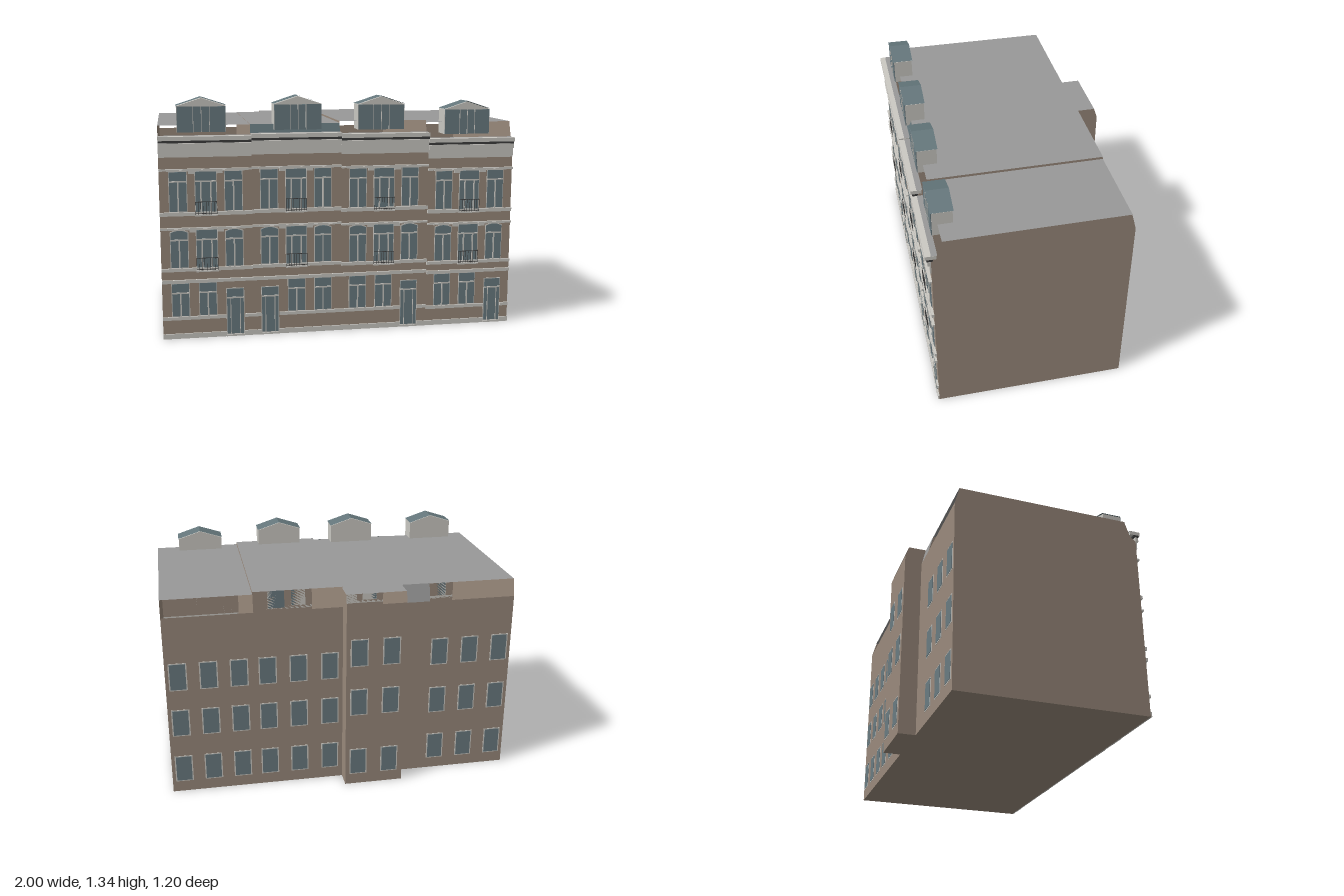
import * as THREE from 'three';

const mat = (name, color, side = THREE.FrontSide) => {
  const m = new THREE.MeshStandardMaterial({ color, side });
  m.name = name;
  return m;
};

export function createModel() {
  const root = new THREE.Group();
  root.name = 'terraceRow';
  const brick = mat('brick', 0x9a8a7c, THREE.DoubleSide);
  const stone = mat('paleStone', 0xcbc9c3);
  const glass = mat('glass', 0x6a7b81);
  const slate = mat('slate', 0x64767b, THREE.DoubleSide);
  const roofGrey = mat('roofGrey', 0x999999, THREE.DoubleSide);
  const iron = mat('darkIron', 0x3c3c3c);

  let target = root;
  const add = (name, geometry, material) => {
    const m = new THREE.Mesh(geometry, material);
    m.name = name;
    target.add(m);
    return m;
  };
  // Box given by its limits
  const box = (name, material, x0, x1, y0, y1, z0, z1) =>
    add(name, new THREE.BoxGeometry(x1 - x0, y1 - y0, z1 - z0), material)
      .position.set((x0 + x1) / 2, (y0 + y1) / 2, (z0 + z1) / 2);
  // Flat four-cornered face
  const quad = (name, material, ...p) => {
    const g = new THREE.BufferGeometry();
    g.setAttribute('position', new THREE.Float32BufferAttribute(p.flat(), 3));
    g.setIndex([0, 1, 2, 0, 2, 3]);
    g.computeVertexNormals();
    add(name, g, material);
  };
  // Upright wall across x, outline given as [z, y] points
  const crossWall = (name, x, pts) => {
    const s = new THREE.Shape(pts.map(([z, y]) => new THREE.Vector2(z, y)));
    const m = add(name, new THREE.ShapeGeometry(s).rotateY(-Math.PI / 2), brick);
    m.position.x = x;
  };
  const backFront = (name, x0, x1, y1, z) =>
    quad(name, brick, [x0, 0, z], [x1, 0, z], [x1, y1, z], [x0, y1, z]);
  // Upright panel with an optional arched head
  const panel = (name, material, x, w, y0, y1, rise, z, depth) => {
    const s = new THREE.Shape();
    s.moveTo(-w / 2, y0);
    s.lineTo(w / 2, y0);
    s.lineTo(w / 2, y1 - rise);
    if (rise) s.quadraticCurveTo(0, y1 + rise, -w / 2, y1 - rise);
    else s.lineTo(-w / 2, y1);
    const g = new THREE.ExtrudeGeometry(s, { depth, bevelEnabled: false, curveSegments: 8 });
    add(name, g, material).position.set(x, 0, z);
  };

  const FRONT = 0.57, BACK = -0.5;

  // Window or door on the street side
  const frontWindow = (x, w, y0, y1, rise, door = false) => {
    panel('windowFrame', stone, x, w + 0.008, y0, y1 + 0.004, rise, FRONT, 0.003);
    panel('windowGlass', glass, x, w, y0 + 0.004, y1, rise, FRONT, 0.006);
    const t = y1 - (door ? 0.05 : 0.052);
    box('transom', stone, x - w / 2, x + w / 2, t - 0.004, t + 0.004, FRONT, FRONT + 0.009);
    if (door) {
      for (const s of [-1, 1])
        box('doorStile', stone, x + s * 0.026 - 0.002, x + s * 0.026 + 0.002, y0, t, FRONT, FRONT + 0.008);
      return;
    }
    const offsets = w > 0.1 ? [-0.027, 0.027] : [0];
    for (const o of offsets)
      box('mullion', stone, x + o - 0.004, x + o + 0.004, y0, t, FRONT, FRONT + 0.009);
  };

  const railing = (x, y) => {
    const w = 0.058;
    for (const h of [0.006, 0.07])
      box('balconyRail', iron, x - w, x + w, y + h - 0.0015, y + h + 0.0015, 0.585, 0.588);
    for (let i = 0; i <= 8; i++) {
      const bx = x - w + (i / 8) * 2 * w;
      box('balconyBar', iron, bx - 0.001, bx + 0.001, y, y + 0.07, 0.585, 0.587);
    }
    box('balconySlab', stone, x - w - 0.003, x + w + 0.003, y - 0.008, y, FRONT, 0.59);
  };

  // Dormer with glazed front and pitched slate roof
  const dormer = (x, eave) => {
    const w = 0.1325, h = 0.14, z0 = 0.43, z1 = 0.54, peak = eave + 0.043;
    const s = new THREE.Shape();
    s.moveTo(-w, eave - h);
    s.lineTo(w, eave - h);
    s.lineTo(w, eave);
    s.lineTo(0, peak);
    s.lineTo(-w, eave);
    add('dormerBody', new THREE.ExtrudeGeometry(s, { depth: z1 - z0, bevelEnabled: false }), stone)
      .position.set(x, 0, z0);
    box('dormerGlass', glass, x - w + 0.002, x + w - 0.002, eave - h, eave - 0.002, z1, z1 + 0.004);
    for (const o of [-0.044, 0.044, 0])
      box('dormerMullion', stone, x + o - 0.0015, x + o + 0.0015, eave - h, eave, z1, z1 + 0.006);
    for (const d of [-1, 1])
      quad('dormerRoof', slate, [x, peak + 0.004, 0.425], [x, peak + 0.004, 0.547],
        [x + d * (w + 0.003), eave + 0.003, 0.547], [x + d * (w + 0.003), eave + 0.003, 0.425]);
  };

  // Houses: x start, vertical shift per floor, cornice shift, roof height, door bay, dormer
  const houses = [
    { x: -1, dy: [0, 0, 0], c: 0, roof: 1.178, door: 2, bays: [-0.9, -0.75, -0.6], dormer: [-0.765, 1.283] },
    { x: -0.5, dy: [0, 0.004, 0.004], c: 0.008, roof: 1.18, door: 0, bays: [-0.405, -0.255, -0.105], dormer: [-0.238, 1.289] },
    { x: 0, dy: [0, -0.004, -0.004], c: 0, roof: 1.19, door: 2, bays: [0.095, 0.245, 0.395], dormer: [0.232, 1.283] },
    { x: 0.5, dy: [-0.01, -0.02, -0.03], c: -0.035, roof: 1.176, door: 2, bays: [0.595, 0.745, 0.9], dormer: [0.733, 1.25] },
  ];
  const floors = [[0.125, 0.312, 0], [0.4, 0.61, 0.012], [0.712, 0.932, 0]];

  houses.forEach((h, i) => {
    target = new THREE.Group();
    target.name = 'house' + (i + 1);
    root.add(target);
    const x0 = h.x, x1 = h.x + 0.5;

    backFront('frontWall', x0, x1, 1.085 + h.c, FRONT);
    backFront('backWall', x0, x1, 1.08, BACK);
    quad('roof', roofGrey, [x0, h.roof, 0.51], [x1, h.roof, 0.51], [x1, h.roof, -0.475], [x0, h.roof, -0.475]);

    // Cornice and frieze
    const c = h.c;
    box('frieze', stone, x0, x1, 1.012 + c, 1.09 + c, FRONT, 0.577);
    box('friezeMoulding', stone, x0, x1, 1.062 + c, 1.088 + c, FRONT, 0.588);
    box('corniceShadowLine', iron, x0, x1, 1.09 + c, 1.103 + c, 0.56, 0.592);
    box('cornice', stone, x0, x1, 1.103 + c, 1.125 + c, 0.54, 0.6);
    quad('gutter', roofGrey, [x0, 1.126 + c, 0.568], [x1, 1.126 + c, 0.568], [x1, 1.126 + c, 0.536], [x0, 1.126 + c, 0.536]);

    // String courses
    const band = (y0, y1, d) => box('stringCourse', stone, x0, x1, y0, y1, FRONT, FRONT + d);
    const [a, b, t] = h.dy;
    const sill = 0.115 + a, dx = h.bays[h.door];
    box('sillCourse', stone, x0, dx - 0.052, sill - 0.008, sill + 0.01, FRONT, 0.58);
    if (dx + 0.052 < x1) box('sillCourse', stone, dx + 0.052, x1, sill - 0.008, sill + 0.01, FRONT, 0.58);
    box('plinth', stone, x0, dx - 0.05, 0, 0.028, FRONT, 0.578);
    box('plinth', stone, dx + 0.05, x1, 0, 0.028, FRONT, 0.578);
    box('doorStep', stone, dx - 0.05, dx + 0.05, 0, 0.01, FRONT, 0.58);
    band(0.316 + a, 0.334 + a, 0.012);
    band(0.382 + b, 0.4 + b, 0.012);
    band(0.615 + b, 0.626 + b, 0.014);
    band(0.692 + t, 0.712 + t, 0.014);
    band(0.938 + t, 0.949 + t, 0.016);

    // Windows, doors and balconies
    floors.forEach(([y0, y1, rise], f) => h.bays.forEach((x, k) => {
      const d = h.dy[f], mid = k === 1;
      if (f === 0 && k === h.door) return frontWindow(x, 0.092, 0.01, 0.272 + d, 0, true);
      const tall = mid && f > 0;
      frontWindow(x, tall ? 0.112 : 0.092, y0 + d - (tall ? 0.016 : 0), y1 + d, mid ? 0 : rise);
      if (f > 0) box('windowHood', stone, x - 0.06, x + 0.06, y1 + d + 0.004, y1 + d + 0.012, FRONT, 0.588);
      if (tall) railing(x, y0 + d - 0.014);
    }));
    // Small brackets between the bays
    for (const f of [1, 2])
      for (const m of [0, 1]) {
        const x = (h.bays[m] + h.bays[m + 1]) / 2, y = floors[f][1] + h.dy[f];
        box('bracket', stone, x - 0.018, x + 0.018, y - 0.01, y + 0.006, FRONT, 0.58);
      }
    dormer(...h.dormer);
  });

  // Ground slab, end walls and party walls
  target = root;
  quad('baseSlab', brick, [-1, 0, FRONT], [-1, 0, BACK], [1, 0, BACK], [1, 0, FRONT]);
  [[-1, 1.178], [-0.5, 1.18], [0, 1.19], [0.5, 1.19], [1, 1.176]].forEach(([x, y]) =>
    crossWall('crossWall', x, [[FRONT, 0], [FRONT, 1.06], [0.537, 1.085], [0.507, y], [-0.473, y], [BACK, 1.08], [BACK, 0]]));

  // Sloped roof faces of the second house
  quad('frontSlope', slate, [-0.5, 1.1, 0.535], [0, 1.1, 0.535], [0, 1.18, 0.512], [-0.5, 1.18, 0.512]);
  quad('backSlope', roofGrey, [-0.5, 1.08, BACK], [-0.34, 1.08, BACK], [-0.34, 1.18, -0.475], [-0.5, 1.18, -0.475]);

  // Rear extension
  backFront('extensionBack', -0.34, 0, 1.12, -0.6);
  for (const x of [-0.34, 0])
    crossWall('extensionSide', x, [[-0.47, 0], [-0.6, 0], [-0.6, 1.12], [-0.58, 1.18], [-0.47, 1.18]]);
  quad('extensionRoof', roofGrey, [-0.34, 1.18, -0.475], [0, 1.18, -0.475], [0, 1.18, -0.58], [-0.34, 1.18, -0.58]);
  quad('extensionBase', brick, [-0.34, 0, BACK], [-0.34, 0, -0.6], [0, 0, -0.6], [0, 0, BACK]);

  // Rear windows
  const rear = (xs, ys, z) => xs.forEach((x) => ys.forEach((y) => {
    box('rearFrame', stone, x - 0.051, x + 0.051, y - 0.004, y + 0.161, z - 0.002, z);
    box('rearGlass', glass, x - 0.044, x + 0.044, y + 0.002, y + 0.155, z - 0.004, z);
  }));
  rear([0.93, 0.76, 0.59, 0.43, 0.255, 0.075], [0.07, 0.365, 0.65], BACK);
  rear([-0.57, -0.75, -0.93], [0.07, 0.38, 0.69], BACK);
  rear([-0.075, -0.26], [0.07, 0.455, 0.76], -0.6);

  return root;
}
